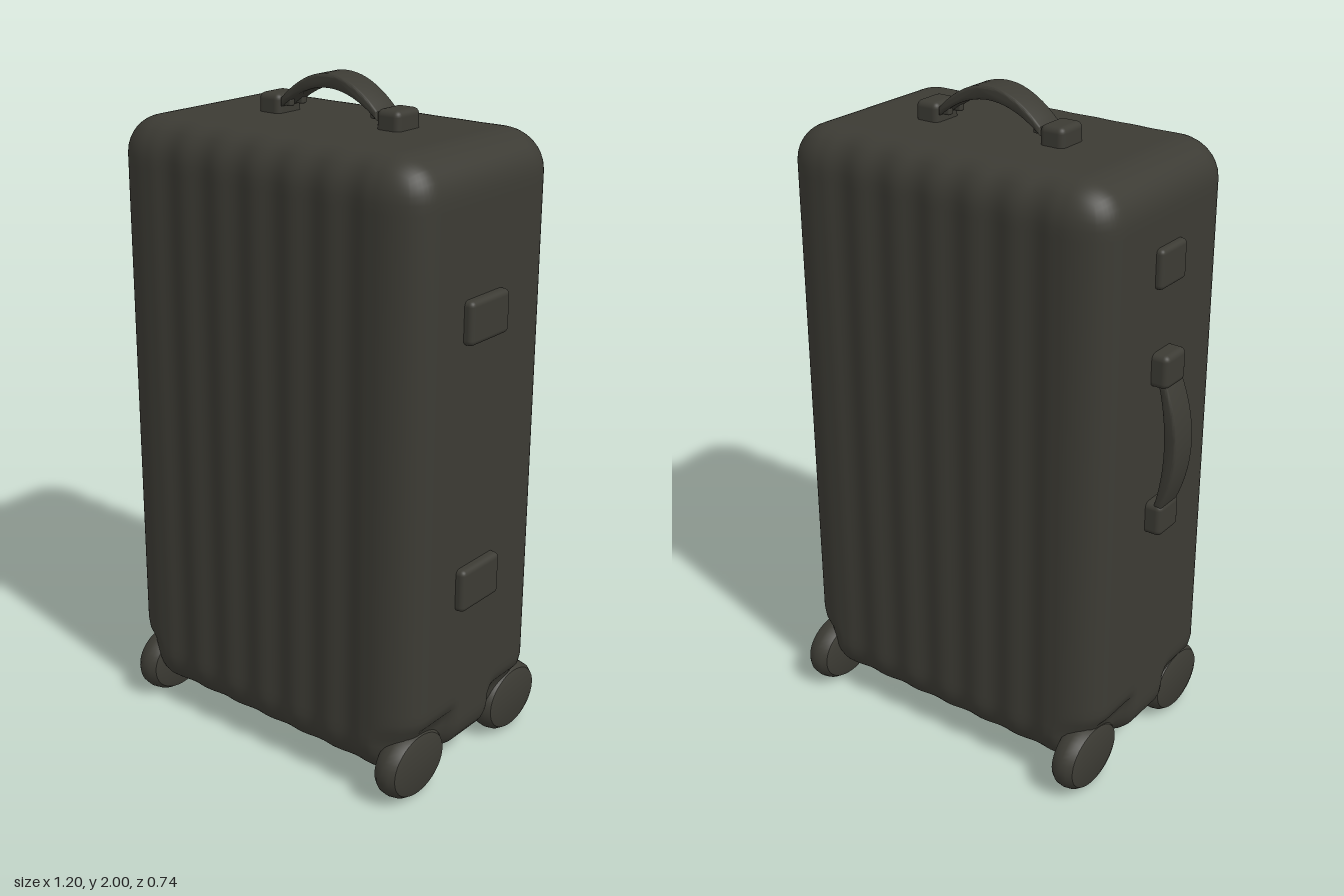
import * as THREE from 'three';
import { mergeVertices, toCreasedNormals } from 'three/addons/utils/BufferGeometryUtils.js';
import { RoundedBoxGeometry } from 'three/addons/geometries/RoundedBoxGeometry.js';

const charcoal = new THREE.MeshStandardMaterial({ color: 0x3c3b34 });
charcoal.name = 'charcoal';

function part(name, geometry, x = 0, y = 0, z = 0) {
  const mesh = new THREE.Mesh(geometry, charcoal);
  mesh.name = name;
  mesh.position.set(x, y, z);
  return mesh;
}

const roundedBox = (w, h, d, r) => new RoundedBoxGeometry(w, h, d, 3, r);

// Shell: a dense box with rounded edges, vertical ribs and tucked-in wheel corners
function shellGeometry() {
  const half = new THREE.Vector3(0.5425, 0.9025, 0.33);
  const radius = new THREE.Vector3(0.13, 0.115, 0.105);
  const core = half.clone().sub(radius);
  const low = core.clone().negate();
  let geometry = new THREE.BoxGeometry(half.x * 2, half.y * 2, half.z * 2, 90, 64, 40);
  geometry.deleteAttribute('uv');
  geometry.deleteAttribute('normal');
  geometry = mergeVertices(geometry);
  const pos = geometry.attributes.position;
  const p = new THREE.Vector3();
  for (let i = 0; i < pos.count; i++) {
    p.fromBufferAttribute(pos, i);
    const inner = p.clone().clamp(low, core);
    const out = p.clone().sub(inner).divide(radius).normalize();
    p.copy(inner).addScaledVector(out.clone().multiply(radius), 1);
    // Ribs across the front and back
    const fade = 1 - THREE.MathUtils.smoothstep(Math.abs(p.x), 0.36, 0.42);
    p.z += out.z * fade * 0.006 * (Math.cos(p.x * Math.PI * 2 / 0.13) - 1) * 0.8;
    // Recess beside each wheel
    const lowPart = 1 - THREE.MathUtils.smoothstep(p.y + 0.9675, 0.19, 0.25);
    const nearWheel = THREE.MathUtils.smoothstep(Math.abs(p.z), 0.07, 0.12);
    const nearSide = THREE.MathUtils.smoothstep(Math.abs(p.x), 0.36, 0.5);
    p.x -= Math.sign(p.x) * 0.035 * lowPart * nearWheel * nearSide;
    pos.setXYZ(i, p.x, p.y, p.z);
  }
  geometry.computeVertexNormals();
  return geometry;
}

// Carry handle lying along x and rising along y, with a bowed grip between two mounts
function handle(name, gripHalf, rise, mountX, mountWidth, mountHeight) {
  const group = new THREE.Group();
  group.name = name;
  const endLow = 0.02, endHigh = 0.045, thick = 0.04;
  const shape = new THREE.Shape();
  shape.moveTo(-gripHalf, endLow);
  shape.lineTo(-gripHalf, endHigh);
  shape.quadraticCurveTo(0, 2 * rise - endHigh, gripHalf, endHigh);
  shape.lineTo(gripHalf, endLow);
  shape.quadraticCurveTo(0, 2 * (rise - thick) - endLow, -gripHalf, endLow);
  const bevel = 0.008;
  const grip = new THREE.ExtrudeGeometry(shape, {
    depth: 0.095 - 2 * bevel, curveSegments: 20,
    bevelSize: bevel, bevelThickness: bevel, bevelOffset: -bevel, bevelSegments: 3,
  });
  grip.translate(0, 0, -0.0475 + bevel);
  group.add(part('grip', toCreasedNormals(grip, 0.7)));
  for (const side of [-1, 1]) {
    // Mount is sunk slightly into the shell
    group.add(part('handleMount',
      roundedBox(mountWidth, mountHeight + 0.02, 0.105, 0.018),
      side * mountX, mountHeight / 2 - 0.01, 0));
    for (const z of [-0.026, 0.026]) {
      group.add(part('handleHinge', roundedBox(0.07, 0.022, 0.022, 0.006),
        side * (gripHalf + 0.005), 0.033, z));
    }
  }
  return group;
}

// Oval wheel with rounded shoulders, axle along x
function wheelGeometry() {
  const w = 0.0425;
  const profile = [[0, -w], [0.72, -w], [0.88, -w * 0.85], [0.97, -w * 0.5], [1, 0],
    [0.97, w * 0.5], [0.88, w * 0.85], [0.72, w], [0, w]]
    .map(([r, y]) => new THREE.Vector2(r * 0.105, y));
  const geometry = new THREE.LatheGeometry(profile, 40);
  geometry.rotateZ(-Math.PI / 2);
  geometry.scale(1, 1, 1.25);
  return toCreasedNormals(geometry, 0.6);
}

export function createModel() {
  const model = new THREE.Group();
  model.name = 'suitcase';

  model.add(part('shell', shellGeometry(), 0.0275, 0.9675, 0.015));

  // Handles on the top and on the right side
  const topHandle = handle('topHandle', 0.172, 0.13, 0.212, 0.078, 0.055);
  topHandle.position.set(0.035, 1.87, -0.005);
  const sideHandle = handle('sideHandle', 0.19, 0.085, 0.23, 0.1, 0.05);
  sideHandle.rotation.z = Math.PI / 2;
  sideHandle.position.set(-0.515, 1.073, -0.002);
  model.add(topHandle, sideHandle);

  // Two latches on the left side, one plate on the right
  for (const [y, height] of [[1.412, 0.125], [0.625, 0.13]]) {
    model.add(part('latch', roundedBox(0.05, height, 0.18, 0.016), 0.572, y, 0.032));
  }
  model.add(part('sidePlate', roundedBox(0.05, 0.115, 0.13, 0.014), -0.511, 1.595, 0.012));

  // Four wheels
  const wheel = wheelGeometry();
  for (const x of [-0.448, 0.508]) {
    for (const z of [0.24, -0.24]) {
      model.add(part(z > 0 ? 'frontWheel' : 'backWheel', wheel, x, 0.105, z));
    }
  }
  return model;
}
